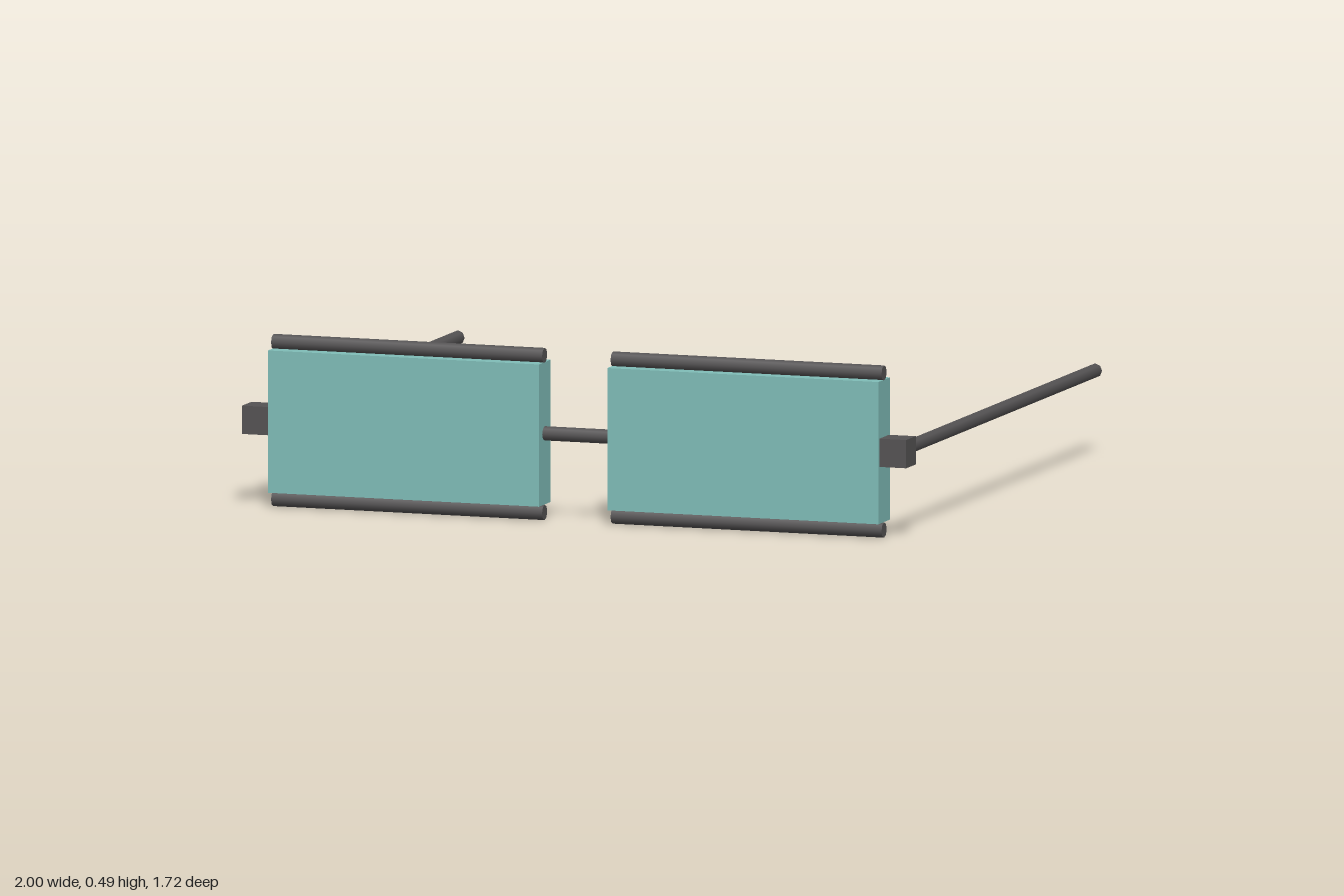
import * as THREE from 'three';

export function createModel() {
  const model = new THREE.Group();
  model.name = 'glasses';

  const lensTeal = new THREE.MeshStandardMaterial({ color: 0x80bdb8 });
  lensTeal.name = 'lens teal';
  const frameGrey = new THREE.MeshStandardMaterial({ color: 0x555354 });
  frameGrey.name = 'frame grey';

  const frontZ = 0.813;
  const midY = 0.249;

  function add(name, geometry, material, x, y, z) {
    const mesh = new THREE.Mesh(geometry, material);
    mesh.name = name;
    mesh.position.set(x, y, z);
    model.add(mesh);
  }

  // Thin eight-sided rod lying along x or z
  function rod(radius, length, axis) {
    const geometry = new THREE.CylinderGeometry(radius, radius, length, 8);
    return axis === 'x' ? geometry.rotateZ(Math.PI / 2) : geometry.rotateX(Math.PI / 2);
  }

  for (const [side, s] of [['left', 1], ['right', -1]]) {
    // Lens slab with a rim bar above and below
    add(`${side}Lens`, new THREE.BoxGeometry(0.816, 0.408, 0.098), lensTeal, s * 0.511, midY, frontZ);
    add(`${side}UpperRim`, rod(0.022, 0.816, 'x'), frameGrey, s * 0.511, 0.472, frontZ);
    add(`${side}LowerRim`, rod(0.022, 0.816, 'x'), frameGrey, s * 0.511, 0.022, frontZ);

    // Hinge block and temple arm
    add(`${side}Hinge`, new THREE.BoxGeometry(0.081, 0.081, 0.081), frameGrey, s * 0.9595, midY, frontZ);
    add(`${side}Temple`, rod(0.0205, 1.635, 'z'), frameGrey, s * 0.9595, midY, -0.0445);
  }

  // Nose bridge
  add('bridge', rod(0.0205, 0.206, 'x'), frameGrey, 0, midY, frontZ);

  return model;
}
